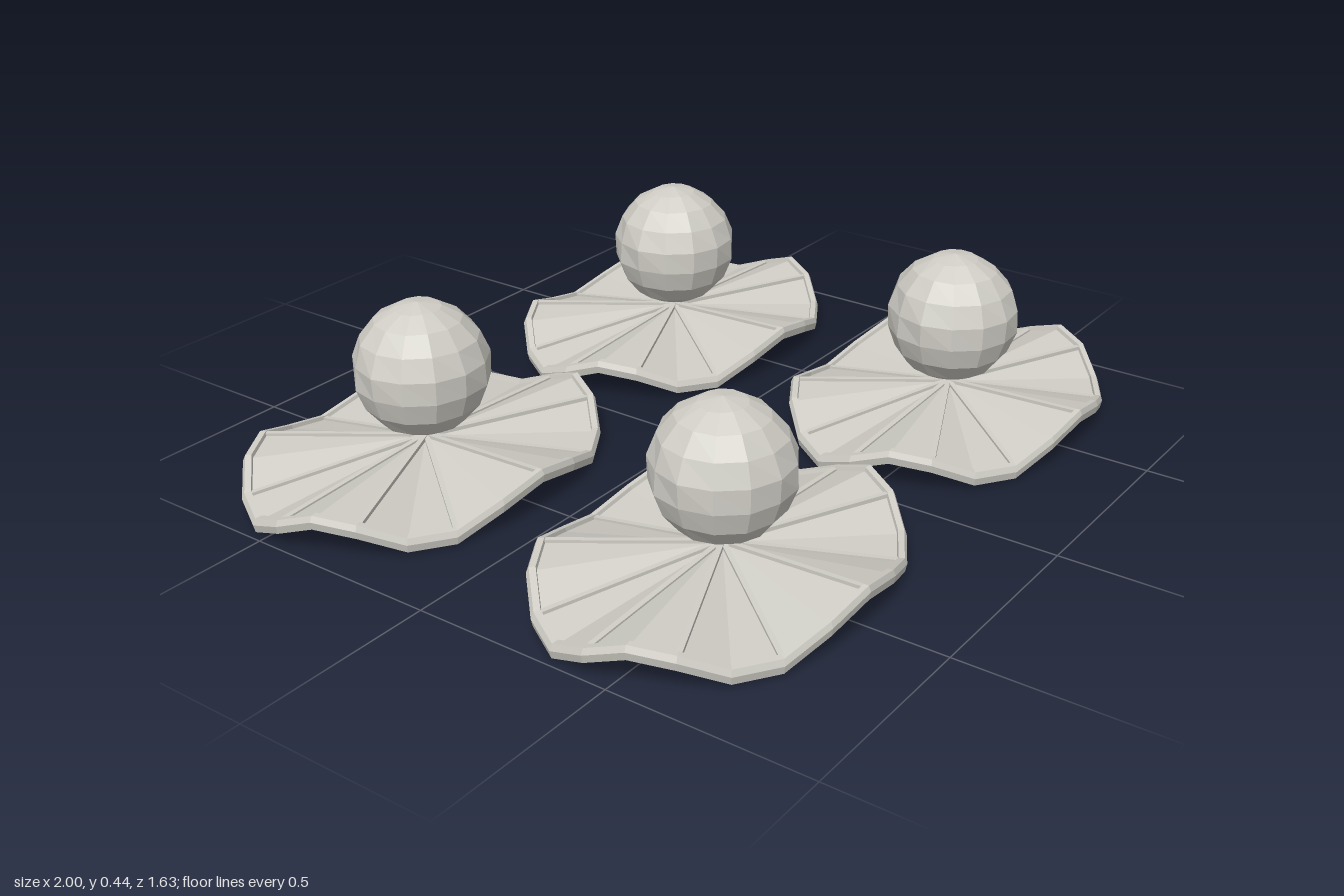
import * as THREE from 'three';

const RX = 0.49, RZ = 0.375, SEGMENTS = 24, RIBS = 12;

// Height of the wavy sheet: five waves, growing from the centre to the rim
function sheetHeight(t, angle) {
  const rim = 0.06 + 0.037 * Math.cos(5 * (angle - Math.PI / 2));
  return THREE.MathUtils.lerp(0.085, rim, t);
}

// Point on the oval at radius fraction t, lifted by dy
function ovalPoint(t, angle, dy) {
  return [RX * t * Math.cos(angle), sheetHeight(t, angle) + dy, RZ * t * Math.sin(angle)];
}

// Sweeps a [radius, lift] profile around the oval
function sweepProfile(profile) {
  const positions = [], index = [], n = profile.length;
  for (let i = 0; i < SEGMENTS; i++) {
    const angle = (i / SEGMENTS) * Math.PI * 2;
    for (const [t, dy] of profile) positions.push(...ovalPoint(t, angle, dy));
  }
  for (let i = 0; i < SEGMENTS; i++) {
    const next = (i + 1) % SEGMENTS;
    for (let j = 0; j < n - 1; j++) {
      const a = i * n + j, b = a + 1, c = next * n + j, d = c + 1;
      index.push(a, c, b, b, c, d);
    }
  }
  const geometry = new THREE.BufferGeometry();
  geometry.setAttribute('position', new THREE.Float32BufferAttribute(positions, 3));
  geometry.setIndex(index);
  geometry.computeVertexNormals();
  return geometry;
}

// Thin bar following the sheet from the centre to the rim
function ribGeometry(angle) {
  const geometry = new THREE.BoxGeometry(0.94, 0.026, 0.013);
  const p = geometry.attributes.position;
  const side = new THREE.Vector2(-RZ * Math.sin(angle), RX * Math.cos(angle)).normalize();
  for (let i = 0; i < p.count; i++) {
    const [x, y, z] = ovalPoint(p.getX(i) + 0.48, angle, p.getY(i));
    const w = p.getZ(i);
    p.setXYZ(i, x + side.x * w, y, z + side.y * w);
  }
  geometry.computeVertexNormals();
  return geometry;
}

// Faceted, slightly uneven ball
function ballGeometry() {
  const geometry = new THREE.SphereGeometry(0.167, 13, 9);
  const p = geometry.attributes.position, v = new THREE.Vector3();
  for (let i = 0; i < p.count; i++) {
    v.fromBufferAttribute(p, i);
    const bump = 1 + 0.022 * Math.sin(v.x * 37 + v.y * 23) * Math.cos(v.z * 31 - v.y * 17);
    v.multiplyScalar(bump);
    p.setXYZ(i, v.x, v.y, v.z);
  }
  geometry.computeVertexNormals();
  return geometry;
}

export function createModel() {
  const stone = new THREE.MeshStandardMaterial({ color: 0xcfcdc5 });
  stone.name = 'pale grey';
  stone.flatShading = true;
  stone.side = THREE.DoubleSide;

  // Panel with a thicker rim, listed from the top centre round to the bottom centre
  const panel = sweepProfile([
    [0, 0.006], [0.945, 0.006], [0.95, 0.016], [0.985, 0.016], [1, 0.002],
    [0.99, -0.018], [0.95, -0.018], [0.945, -0.006], [0, -0.006],
  ]);
  const ball = ballGeometry();
  const ribs = [];
  for (let i = 0; i < RIBS; i++) ribs.push(ribGeometry((i / RIBS) * Math.PI * 2));

  const model = new THREE.Group();
  const add = (parent, geometry, name) => {
    const mesh = new THREE.Mesh(geometry, stone);
    mesh.name = name;
    parent.add(mesh);
    return mesh;
  };

  // Four identical pieces in a two by two layout
  for (const x of [-0.51, 0.51]) {
    for (const z of [-0.44, 0.44]) {
      const piece = new THREE.Group();
      piece.name = 'wavyDiscWithBall';
      add(piece, panel, 'wavyDisc');
      ribs.forEach((rib) => add(piece, rib, 'rib'));
      add(piece, ball, 'ball').position.y = 0.275;
      piece.position.set(x, 0, z);
      model.add(piece);
    }
  }
  return model;
}
